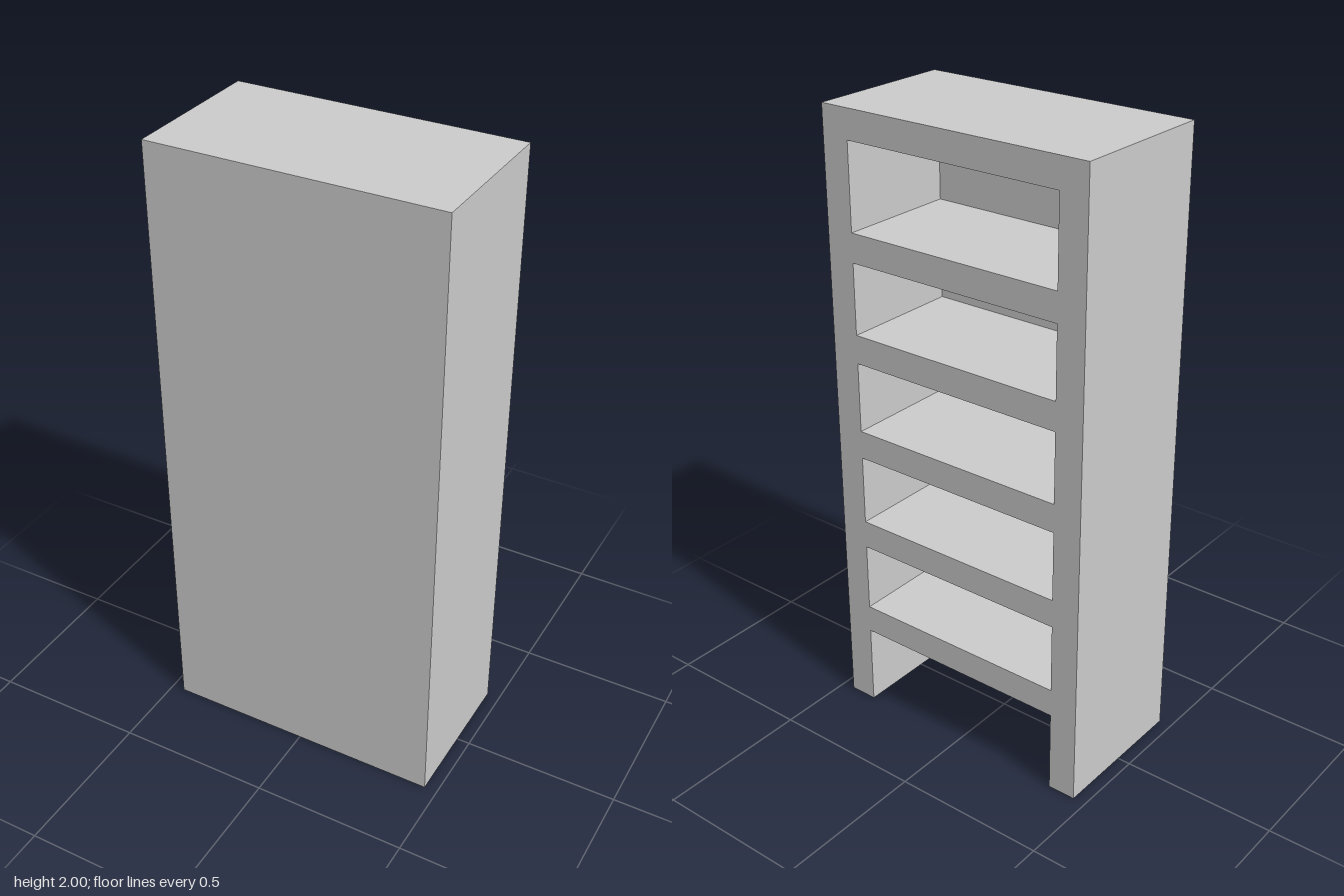
import * as THREE from 'three';

const W = 0.915, H = 2, D = 0.485; // outer size
const T = 0.092;                   // apparent board thickness
const IW = W - 2 * T, ID = D - T;  // inside of each compartment
const PITCH = 0.3185, FIRST_TOP = 0.271, LAST_TOP = H - T;

const material = new THREE.MeshStandardMaterial({ color: 0xcccccc, side: THREE.DoubleSide });

// Thin flat panel, turned about x and y to face the wanted way
function panel(name, w, h, [x, y, z], rx = 0, ry = 0) {
  const mesh = new THREE.Mesh(new THREE.PlaneGeometry(w, h), material);
  mesh.name = name;
  mesh.position.set(x, y, z);
  mesh.rotation.set(rx, ry, 0);
  return mesh;
}

// Compartments as [bottom, top]; the lowest has no floor
function compartments() {
  const list = [];
  for (let i = 0; i < 6; i++) {
    const bottom = i === 0 ? 0 : FIRST_TOP + T + PITCH * (i - 1);
    const top = i === 5 ? LAST_TOP : FIRST_TOP + PITCH * i;
    list.push([bottom, top]);
  }
  return list;
}

// Face frame with a notch for the open base and a window per compartment
function backFrame(levels) {
  const a = W / 2, b = IW / 2, notch = levels[0][1];
  const points = (list) => list.map(([x, y]) => new THREE.Vector2(x, y));
  const shape = new THREE.Shape(points([
    [-a, 0], [-b, 0], [-b, notch], [b, notch], [b, 0], [a, 0], [a, H], [-a, H],
  ]));
  for (const [lo, hi] of levels.slice(1)) {
    shape.holes.push(new THREE.Path(points([[-b, lo], [-b, hi], [b, hi], [b, lo]])));
  }
  const mesh = new THREE.Mesh(new THREE.ShapeGeometry(shape), material);
  mesh.name = 'backFrame';
  mesh.position.z = -D / 2;
  mesh.rotation.y = Math.PI;
  return mesh;
}

// Lining of one compartment: sides, front wall, ceiling and shelf
function compartment(lo, hi, index) {
  const group = new THREE.Group();
  group.name = `compartment${index + 1}`;
  const h = hi - lo, y = (lo + hi) / 2, z = -T / 2;
  for (const [name, s] of [['leftLining', 1], ['rightLining', -1]]) {
    group.add(panel(name, ID, h, [s * IW / 2, y, z], 0, -s * Math.PI / 2));
  }
  group.add(panel('frontLining', IW, h, [0, y, D / 2 - T], 0, Math.PI));
  group.add(panel('ceiling', IW, ID, [0, hi, z], Math.PI / 2));
  if (index > 0) group.add(panel('shelf', IW, ID, [0, lo, z], -Math.PI / 2));
  return group;
}

export function createModel() {
  const model = new THREE.Group();
  model.name = 'shelfCabinet';
  const levels = compartments();

  // Outer shell, hollow and open underneath
  model.add(panel('frontPanel', W, H, [0, H / 2, D / 2]));
  model.add(panel('topPanel', W, D, [0, H, 0], -Math.PI / 2));
  for (const [name, s] of [['leftSide', 1], ['rightSide', -1]]) {
    model.add(panel(name, D, H, [s * W / 2, H / 2, 0], 0, s * Math.PI / 2));
  }
  model.add(backFrame(levels));

  // Compartments stacked from the base up
  levels.forEach(([lo, hi], i) => model.add(compartment(lo, hi, i)));
  return model;
}
